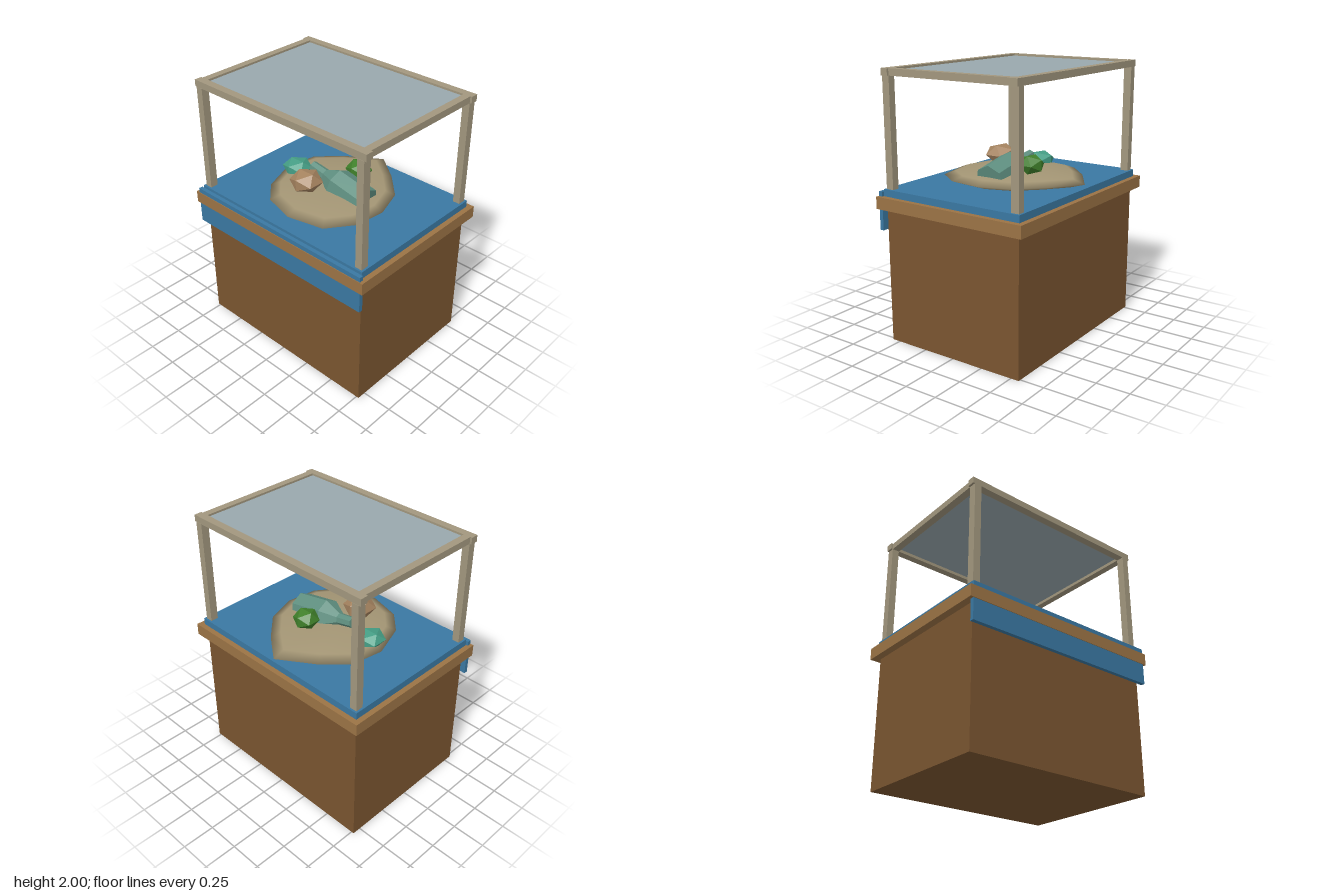
import * as THREE from 'three';

const mat = (color, flatShading = true) => new THREE.MeshStandardMaterial({ color, flatShading });
const WOOD = mat(0x7a5530), TRIM = mat(0x9b7345), CLOTH = mat(0x3a78a2), FRAME = mat(0xa2977e);

function add(group, name, geometry, material, x = 0, y = 0, z = 0) {
  const mesh = new THREE.Mesh(geometry, material);
  mesh.name = name;
  mesh.position.set(x, y, z);
  group.add(mesh);
  return mesh;
}

// Box given by its limits on each axis
function box(group, name, material, x0, x1, y0, y1, z0, z1) {
  return add(group, name, new THREE.BoxGeometry(x1 - x0, y1 - y0, z1 - z0), material,
    (x0 + x1) / 2, (y0 + y1) / 2, (z0 + z1) / 2);
}

// Flattened heap: one uneven outline scaled into rings from foot to crown
function moundGeometry() {
  const outline = [
    [0.47, 0], [0.44, 0.24], [0.3, 0.43], [0.02, 0.49], [-0.23, 0.42], [-0.38, 0.27],
    [-0.48, 0], [-0.44, -0.25], [-0.27, -0.42], [-0.01, -0.59], [0.2, -0.43], [0.39, -0.24],
  ];
  const rings = [[0, 1.152], [0.8, 1.152], [1, 1.187], [0.84, 1.217], [0.45, 1.235], [0, 1.24]];
  const n = outline.length, positions = [], index = [];
  for (const [scale, y] of rings)
    for (const [x, z] of outline) positions.push(x * scale, y, z * scale);
  for (let j = 0; j < rings.length - 1; j++)
    for (let i = 0; i < n; i++) {
      const a = j * n + i, c = j * n + (i + 1) % n;
      index.push(a, a + n, c, c, a + n, c + n);
    }
  const g = new THREE.BufferGeometry();
  g.setAttribute('position', new THREE.Float32BufferAttribute(positions, 3));
  g.setIndex(index);
  g.computeVertexNormals();
  // the crown points coincide, so they share a straight-up normal
  for (let i = 0; i < n; i++) {
    g.attributes.normal.setXYZ(i, 0, -1, 0);
    g.attributes.normal.setXYZ((rings.length - 1) * n + i, 0, 1, 0);
  }
  return g;
}

export function createModel() {
  const model = new THREE.Group();
  model.name = 'displayCase';

  // Cabinet, counter edge and cloth
  box(model, 'cabinet', WOOD, -0.77, 0.77, 0, 1.01, -0.565, 0.565);
  box(model, 'counterTrim', TRIM, -0.825, 0.825, 1.01, 1.1, -0.62, 0.62);
  box(model, 'clothPad', CLOTH, -0.785, 0.785, 1.1, 1.152, -0.58, 0.58);
  box(model, 'clothFlap', CLOTH, -0.8, 0.8, 0.85, 1.135, 0.585, 0.615);

  // Open frame: four posts and four top rails around a pane
  const frame = new THREE.Group();
  frame.name = 'frame';
  model.add(frame);
  for (const sx of [-1, 1]) {
    for (const sz of [-1, 1])
      add(frame, 'post', new THREE.BoxGeometry(0.055, 0.8, 0.06), FRAME, sx * 0.7425, 1.55, sz * 0.535);
    add(frame, 'sideRail', new THREE.BoxGeometry(0.055, 0.05, 1.01), FRAME, sx * 0.7425, 1.975, 0);
    add(frame, 'longRail', new THREE.BoxGeometry(1.57, 0.05, 0.058), FRAME, 0, 1.975, sx * 0.534);
  }
  box(frame, 'pane', mat(0x99a8ad), -0.715, 0.715, 1.975, 1.985, -0.505, 0.505);

  // Sand heap
  add(model, 'sandMound', moundGeometry(), mat(0xa39574, false));

  // Faceted stones: colour, radius, height factor, position
  const stones = [
    ['brownStone', 0xa5835f, 0.124, 0.67, -0.09, 1.305, 0.19],
    ['greenStone', 0x3f7f2a, 0.1, 0.77, 0.075, 1.3, -0.195],
    ['tealStone', 0x459e85, 0.115, 0.55, -0.36, 1.242, 0.01],
  ];
  for (const [name, color, r, sy, x, y, z] of stones)
    add(model, name, new THREE.IcosahedronGeometry(r, 0).scale(1, sy, 1), mat(color), x, y, z);

  // Half-buried bottle lying on its side
  const profile = [[0, 0], [0.12, 0], [0.12, 0.28], [0.045, 0.4], [0.04, 0.53], [0, 0.53]]
    .map(([r, s]) => new THREE.Vector2(r, s));
  const bottle = add(model, 'bottle', new THREE.LatheGeometry(profile, 7, Math.PI / 2),
    mat(0x5f8f80), 0.315, 1.195, 0);
  bottle.rotation.z = Math.PI / 2 - 0.2;

  return model;
}
